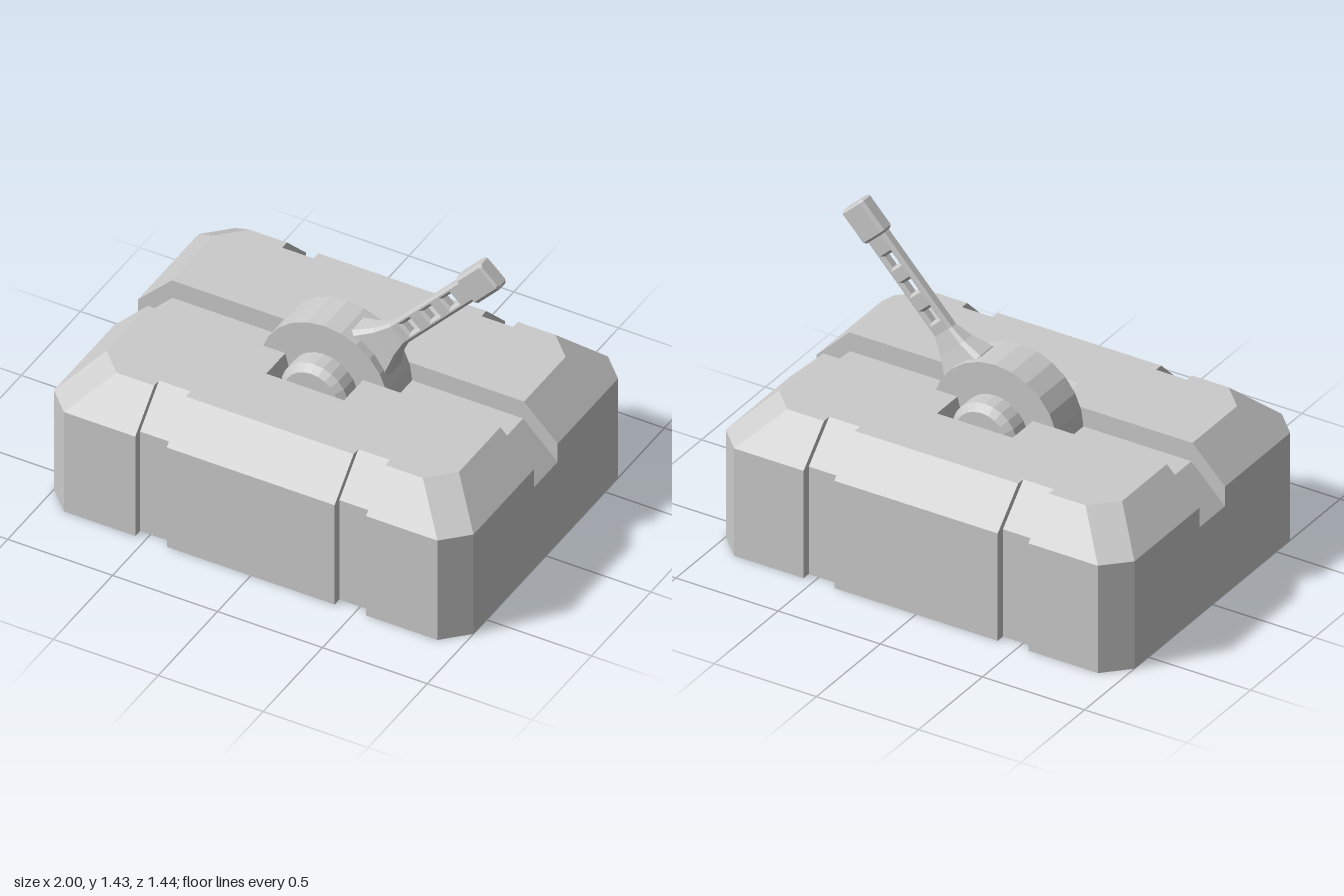
import * as THREE from 'three';

const WHEEL_Y = 0.585;
const LEVER_TILT = THREE.MathUtils.degToRad(-43);

const solid = new THREE.MeshStandardMaterial({ color: 0xcccccc, flatShading: true });
const sheet = new THREE.MeshStandardMaterial({ color: 0xcccccc, flatShading: true, side: THREE.DoubleSide });

function named(name, geometry, material = solid) {
  const mesh = new THREE.Mesh(geometry, material);
  mesh.name = name;
  return mesh;
}

// Collects convex polygons of one quarter (+x, +z) and mirrors them into all four
function quarterBuilder() {
  const pos = [];
  const tri = (a, b, c) => {
    for (const sx of [1, -1]) for (const sz of [1, -1]) {
      const order = sx * sz > 0 ? [a, b, c] : [a, c, b];
      for (const p of order) pos.push(p[0] * sx, p[1], p[2] * sz);
    }
  };
  const poly = (...p) => {
    for (let i = 1; i < p.length - 1; i++) tri(p[0], p[i], p[i + 1]);
  };
  const build = () => {
    const g = new THREE.BufferGeometry();
    g.setAttribute('position', new THREE.Float32BufferAttribute(pos, 3));
    g.computeVertexNormals();
    return g;
  };
  return { tri, poly, build };
}

// Open-bottomed housing with sloped shoulders, side notches and a lever slot
function housingGeometry() {
  const { tri, poly, build } = quarterBuilder();
  const yW = 0.52, yT = 0.68;

  // front strips: [x start, x end at wall, x end at top, inset]
  for (const [x0, x1, x2, d] of [[0, 0.4, 0.4, 0], [0.4, 0.55, 0.55, 0.04], [0.55, 0.89, 0.73, 0]]) {
    const zw = 0.72 - d, zt = 0.56 - d;
    poly([x0, 0, zw], [x1, 0, zw], [x1, yW, zw], [x0, yW, zw]);
    poly([x0, yW, zw], [x1, yW, zw], [x2, yT, zt], [x0, yT, zt]);
  }

  // notch cheeks
  for (const [x, flip] of [[0.4, false], [0.55, true]]) {
    const lower = [[x, 0, 0.72], [x, 0, 0.68], [x, yW, 0.68], [x, yW, 0.72]];
    const upper = [[x, yW, 0.72], [x, yW, 0.68], [x, yT, 0.52], [x, yT, 0.56]];
    for (const q of [lower, upper]) poly(...(flip ? q.reverse() : q));
  }

  // corner and end walls with their shoulders
  poly([0.89, 0, 0.72], [1, 0, 0.61], [1, yW, 0.61], [0.89, yW, 0.72]);
  poly([0.89, yW, 0.72], [1, yW, 0.61], [0.84, yT, 0.45], [0.73, yT, 0.56]);
  poly([1, 0, 0.61], [1, 0, 0.1], [1, yW, 0.1], [1, yW, 0.61]);
  poly([1, yW, 0.61], [1, yW, 0.1], [0.84, yT, 0.1], [0.84, yT, 0.45]);
  poly([1, 0, 0.1], [1, 0, 0], [1, 0.425, 0], [1, 0.425, 0.1]);

  // lever slot: floor, run-out and cheek
  poly([0.3, 0.59, 0.1], [0.835, 0.59, 0.1], [0.835, 0.59, 0], [0.3, 0.59, 0]);
  poly([0.835, 0.59, 0.1], [1, 0.425, 0.1], [1, 0.425, 0], [0.835, 0.59, 0]);
  poly([0.28, yT, 0.1], [0.84, yT, 0.1], [0.835, 0.59, 0.1], [0.28, 0.59, 0.1]);
  poly([0.84, yT, 0.1], [1, yW, 0.1], [1, 0.425, 0.1], [0.835, 0.59, 0.1]);

  // tapered axle pocket
  poly([0.185, yT, 0.26], [0.185, yT, 0.1], [0.16, 0.58, 0.1], [0.16, 0.58, 0.205]);
  poly([0, yT, 0.26], [0.185, yT, 0.26], [0.16, 0.58, 0.205], [0, 0.58, 0.205]);

  // top deck
  const deck = [
    [0, 0.26], [0.185, 0.26], [0.185, 0.1], [0.84, 0.1], [0.84, 0.45], [0.73, 0.56],
    [0.55, 0.56], [0.55, 0.52], [0.4, 0.52], [0.4, 0.56], [0, 0.56],
  ].map(([x, z]) => new THREE.Vector2(x, z));
  for (const face of THREE.ShapeUtils.triangulateShape(deck, [])) {
    const [a, b, c] = face.map((i) => deck[i]);
    const up = (b.x - a.x) * (c.y - a.y) - (b.y - a.y) * (c.x - a.x) < 0;
    const [p, q, r] = (up ? [a, b, c] : [a, c, b]).map((v) => [v.x, yT, v.y]);
    tri(p, q, r);
  }
  return build();
}

// Loft of chamfered rectangles along y; sections are [y, half x, half z, chamfer]
function chamferedLoft(sections) {
  const rings = sections.map(([y, w, d, c]) => [
    [w, d - c], [w - c, d], [c - w, d], [-w, d - c],
    [-w, c - d], [c - w, -d], [w - c, -d], [w, c - d],
  ].map(([x, z]) => [x, y, z]));
  const pos = [];
  const tri = (a, b, c) => pos.push(...a, ...b, ...c);
  for (let k = 0; k < rings.length - 1; k++) {
    for (let i = 0; i < 8; i++) {
      const j = (i + 1) % 8, lo = rings[k], hi = rings[k + 1];
      tri(lo[i], hi[j], lo[j]);
      tri(lo[i], hi[i], hi[j]);
    }
  }
  const first = rings[0], last = rings[rings.length - 1];
  for (let i = 1; i < 7; i++) {
    tri(first[0], first[i], first[i + 1]);
    tri(last[0], last[i + 1], last[i]);
  }
  const g = new THREE.BufferGeometry();
  g.setAttribute('position', new THREE.Float32BufferAttribute(pos, 3));
  g.computeVertexNormals();
  return g;
}

function rectPath(path, w, y0, y1) {
  path.moveTo(-w, y0).lineTo(w, y0).lineTo(w, y1).lineTo(-w, y1).closePath();
  return path;
}

// Flat bar with three windows and bevelled edges
function shaftGeometry() {
  const bevel = 0.012;
  const shape = rectPath(new THREE.Shape(), 0.055 - bevel, 0.4, 0.95);
  for (const y of [0.495, 0.64, 0.775]) {
    shape.holes.push(rectPath(new THREE.Path(), 0.036, y, y + 0.08));
  }
  const g = new THREE.ExtrudeGeometry(shape, {
    depth: 0.032, bevelEnabled: true, bevelSegments: 1, bevelSize: bevel, bevelThickness: bevel,
  });
  return g.translate(0, 0, -0.016);
}

export function createModel() {
  const model = new THREE.Group();
  model.name = 'leverSwitch';
  model.add(named('housing', housingGeometry(), sheet));

  // pivot wheel and the chamfered axle through it
  const wheel = named('wheel', new THREE.CylinderGeometry(0.307, 0.307, 0.2, 24).rotateX(Math.PI / 2));
  wheel.position.y = WHEEL_Y;
  const axleProfile = [[0, -0.21], [0.13, -0.21], [0.16, -0.18], [0.16, 0.18], [0.13, 0.21], [0, 0.21]]
    .map(([r, y]) => new THREE.Vector2(r, y));
  const axle = named('axle', new THREE.LatheGeometry(axleProfile, 24).rotateX(Math.PI / 2));
  axle.position.y = WHEEL_Y;

  // lever, built upright about the wheel centre and then tilted
  const lever = new THREE.Group();
  lever.name = 'lever';
  lever.add(
    named('leverFoot', chamferedLoft([
      [0.24, 0.122, 0.068, 0.02], [0.285, 0.122, 0.068, 0.02],
      [0.37, 0.078, 0.045, 0.015], [0.45, 0.054, 0.028, 0.012],
    ])),
    named('leverShaft', shaftGeometry()),
    named('leverGrip', chamferedLoft([
      [0.93, 0.06, 0.03, 0.01], [0.94, 0.07, 0.04, 0.014],
      [1.088, 0.07, 0.04, 0.014], [1.098, 0.06, 0.03, 0.01],
    ])),
  );
  lever.position.y = WHEEL_Y;
  lever.rotation.z = LEVER_TILT;

  model.add(wheel, axle, lever);
  return model;
}
